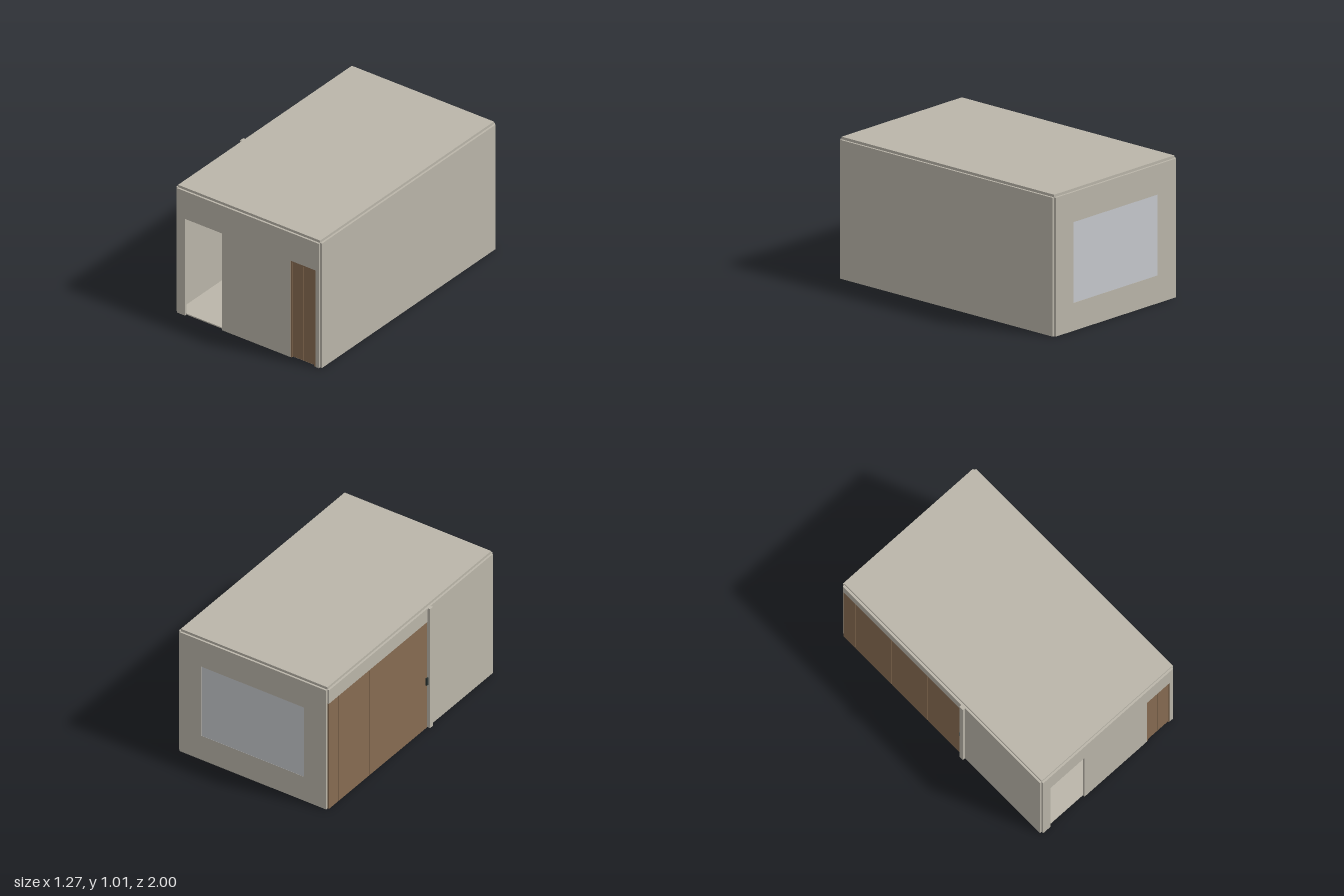
import * as THREE from 'three';

const mat = (name, color, side = THREE.FrontSide) => {
  const m = new THREE.MeshStandardMaterial({ color, side });
  m.name = name;
  return m;
};

export function createModel() {
  const room = new THREE.Group();
  room.name = 'room';
  const plaster = mat('warm grey plaster', 0xbab5a9);
  const wood = mat('brown wood', 0x866b51);
  const dark = mat('dark green grey', 0x2b3433);
  const glass = mat('pale glass', 0xc5c8cc);
  const fabric = mat('curtain grey', 0xa09a92, THREE.DoubleSide);

  // Box given by its limits on each axis
  const box = (name, material, [x0, x1], [y0, y1], [z0, z1]) => {
    const mesh = new THREE.Mesh(new THREE.BoxGeometry(x1 - x0, y1 - y0, z1 - z0), material);
    mesh.position.set((x0 + x1) / 2, (y0 + y1) / 2, (z0 + z1) / 2);
    mesh.name = name;
    room.add(mesh);
    return mesh;
  };

  // Wall facing z: outline polygon with optional rectangular holes
  const wall = (name, outline, holes, z0, depth) => {
    const shape = new THREE.Shape(outline.map(([x, y]) => new THREE.Vector2(x, y)));
    for (const [x0, x1, y0, y1] of holes) {
      shape.holes.push(new THREE.Path([
        new THREE.Vector2(x0, y0), new THREE.Vector2(x0, y1),
        new THREE.Vector2(x1, y1), new THREE.Vector2(x1, y0)]));
    }
    const mesh = new THREE.Mesh(
      new THREE.ExtrudeGeometry(shape, { depth, bevelEnabled: false }), plaster);
    mesh.position.z = z0;
    mesh.name = name;
    room.add(mesh);
  };

  // Floor and roof slabs
  box('floor', plaster, [-0.6, 0.62], [0.001, 0.01], [-0.985, 0.985]);
  box('roof', plaster, [-0.6, 0.62], [0.995, 1.015], [-0.985, 0.985]);

  // Front wall with open doorway and door recess, both reaching the ground
  wall('frontWall', [
    [-0.6, 0], [-0.53, 0], [-0.53, 0.775], [-0.212, 0.775], [-0.212, 0],
    [0.374, 0], [0.374, 0.773], [0.59, 0.773], [0.59, 0], [0.62, 0],
    [0.62, 0.996], [-0.6, 0.996]], [], 0.983, 0.017);

  // Back wall with window
  wall('backWall', [[-0.6, 0], [0.62, 0], [0.62, 0.996], [-0.6, 0.996]],
    [[-0.415, 0.44, 0.2, 0.78]], -1, 0.017);
  box('windowGlass', glass, [-0.415, 0.44], [0.2, 0.78], [-0.999, -0.99]);

  // Side walls
  box('leftWall', plaster, [0.62, 0.635], [0, 0.996], [-0.985, 0.985]);
  box('rightWall', plaster, [-0.615, -0.6], [0, 0.996], [0.235, 0.985]);
  box('slidingDoorHeader', plaster, [-0.612, -0.6], [0.88, 0.985], [-0.985, 0.2]);
  box('headerRail', plaster, [-0.616, -0.6], [0.985, 0.996], [-0.985, 0.2]);
  box('slidingDoorPost', plaster, [-0.635, -0.6], [0, 0.996], [0.2, 0.235]);

  // Sliding panels on the right side
  box('slidingDoorBacking', wood, [-0.606, -0.6], [0.002, 0.88], [-0.985, 0.2]);
  const seams = [-0.985, -0.865, -0.5, -0.14, 0.2];
  for (let i = 0; i < 4; i++) {
    box('slidingPanel', wood, [-0.612, -0.605], [0, 0.88],
      [seams[i] + 0.002, seams[i + 1] - 0.002]);
  }
  box('slidingDoorHandle', dark, [-0.622, -0.612], [0.36, 0.42], [0.18, 0.198]);

  // Double door set in the front wall
  box('doorJamb', wood, [0.374, 0.386], [0, 0.773], [0.983, 0.998]);
  box('doorJamb', wood, [0.578, 0.59], [0, 0.773], [0.983, 0.998]);
  box('doorHead', wood, [0.386, 0.578], [0.761, 0.773], [0.983, 0.998]);
  box('doorBacking', dark, [0.386, 0.578], [0.001, 0.761], [0.981, 0.985]);
  box('doorLeaf', wood, [0.387, 0.4805], [0.008, 0.759], [0.985, 0.993]);
  box('doorLeaf', wood, [0.4835, 0.577], [0.008, 0.759], [0.985, 0.993]);

  // Low cabinet below the window, with pale drawer trim
  box('cabinet', wood, [-0.37, 0.42], [0, 0.19], [-0.975, -0.78]);
  box('cabinetTrim', plaster, [-0.345, 0.395], [0.043, 0.049], [-0.781, -0.776]);
  box('cabinetFoot', plaster, [-0.27, 0.32], [0.011, 0.017], [-0.781, -0.776]);

  // Pleated curtains at both sides of the window
  for (const x of [-0.362, 0.388]) {
    const sheet = new THREE.PlaneGeometry(0.106, 0.58, 32, 1);
    const p = sheet.attributes.position;
    for (let i = 0; i < p.count; i++) {
      p.setZ(i, 0.01 * Math.sin((p.getX(i) / 0.106) * Math.PI * 8));
    }
    sheet.computeVertexNormals();
    const curtain = new THREE.Mesh(sheet, fabric);
    curtain.position.set(x, 0.515, -0.96);
    curtain.name = 'curtain';
    room.add(curtain);
  }

  // Dark screen on a short arm from the right wall
  box('screen', dark, [-0.57, -0.27], [0.28, 0.54], [-0.22, -0.2]);
  box('screenRim', dark, [-0.27, -0.255], [0.28, 0.54], [-0.225, -0.205]);
  box('screenArm', dark, [-0.6, -0.43], [0.4, 0.416], [-0.2, -0.18]);

  return room;
}
